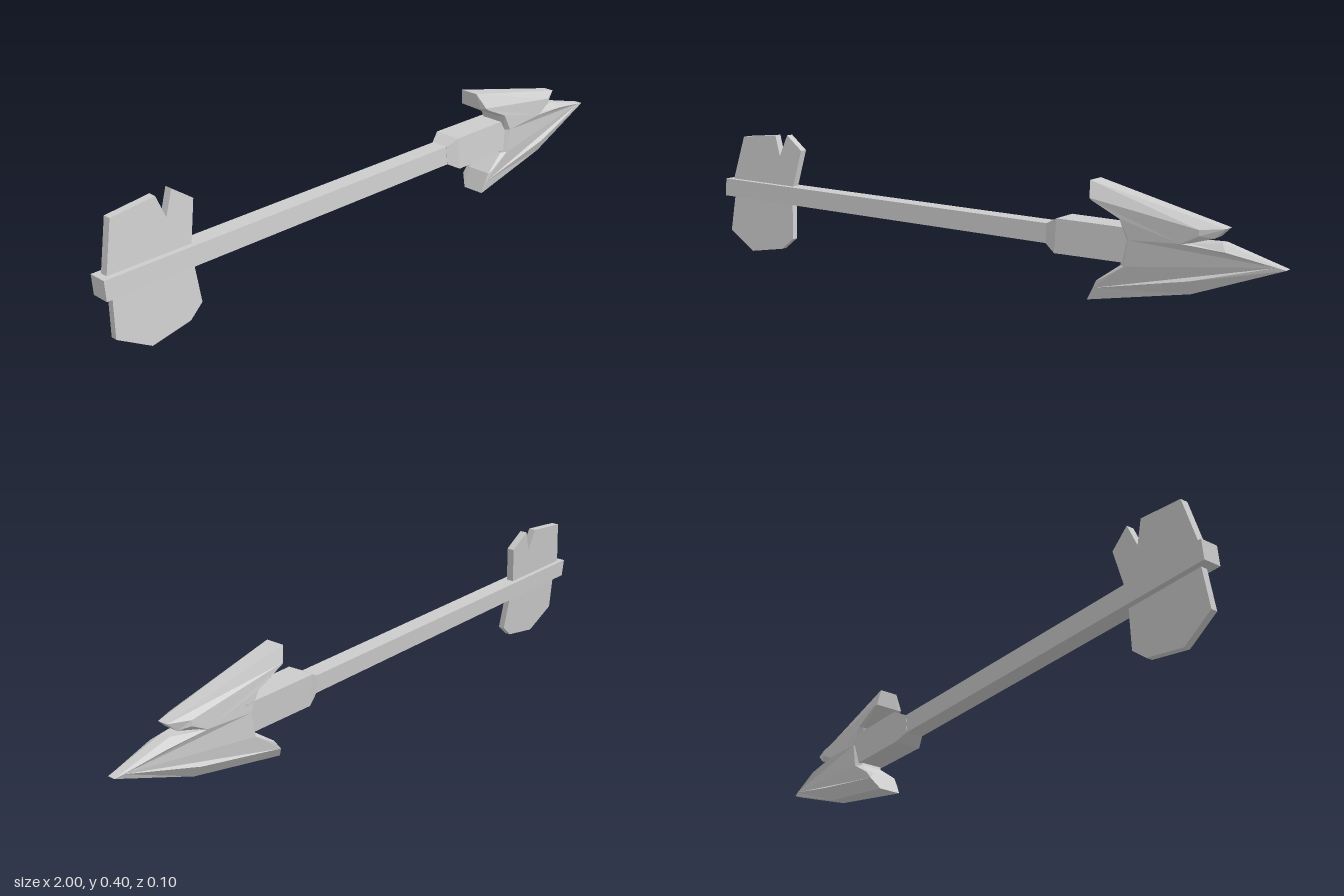
import * as THREE from 'three';

const material = new THREE.MeshStandardMaterial({ color: 0xcccccc, flatShading: true });

// The whole arrow is slightly twisted out of true: higher points lean to -z.
const lean = (y, k) => -k * (y - 0.2);

function meshFrom(name, positions, indices) {
  const indexed = new THREE.BufferGeometry();
  indexed.setAttribute('position', new THREE.Float32BufferAttribute(positions, 3));
  indexed.setIndex(indices);
  const geometry = indexed.toNonIndexed();
  geometry.computeVertexNormals();
  const mesh = new THREE.Mesh(geometry, material);
  mesh.name = name;
  return mesh;
}

// Lofts four-cornered sections [x, bottom, top, halfDepth] along x.
function squareLoft(name, sections) {
  const positions = [], indices = [];
  for (const [x, bottom, top, depth] of sections) {
    for (const [y, z] of [[bottom, depth], [bottom, -depth], [top, -depth], [top, depth]]) {
      positions.push(x, y, z - 0.004 + lean(y, 0.1));
    }
  }
  for (let s = 0; s < sections.length - 1; s++) {
    for (let i = 0; i < 4; i++) {
      const a = s * 4 + i, b = s * 4 + (i + 1) % 4;
      indices.push(a, b, b + 4, a, b + 4, a + 4);
    }
  }
  const e = (sections.length - 1) * 4;
  indices.push(0, 2, 1, 0, 3, 2, e, e + 1, e + 2, e, e + 2, e + 3);
  return meshFrom(name, positions, indices);
}

// Thin feather plate cut from an outline and leaned like the shaft.
function feather(name, outline, thickness) {
  const shape = new THREE.Shape(outline.map(([x, y]) => new THREE.Vector2(x, y)));
  const geometry = new THREE.ExtrudeGeometry(shape, { depth: thickness, bevelEnabled: false });
  const p = geometry.attributes.position;
  for (let i = 0; i < p.count; i++) {
    p.setZ(i, p.getZ(i) - thickness / 2 - 0.004 + lean(p.getY(i), 0.12));
  }
  geometry.computeVertexNormals();
  const mesh = new THREE.Mesh(geometry, material);
  mesh.name = name;
  return mesh;
}

// Barbed head: a broad face on each side, bevelled out to a narrower rim.
function arrowHead() {
  // rim x, rim y, face x, face y, rim half depth
  const ring = [
    [0.43, 0.025, 0.45, 0.062, 0.036],
    [0.74, 0.08, 0.74, 0.118, 0.022],
    [1.0, 0.175, 0.975, 0.18, 0.012],
    [0.82, 0.226, 0.84, 0.207, 0.016],
    [0.73, 0.217, 0.715, 0.217, 0.026],
    [0.8, 0.237, 0.765, 0.243, 0.022],
    [0.83, 0.265, 0.765, 0.26, 0.016],
    [0.42, 0.36, 0.435, 0.315, 0.03],
    [0.43, 0.31, 0.445, 0.307, 0.04],
    [0.52, 0.262, 0.53, 0.266, 0.035],
    [0.545, 0.21, 0.56, 0.21, 0.035],
    [0.53, 0.135, 0.547, 0.135, 0.035],
    [0.46, 0.085, 0.475, 0.09, 0.04],
  ];
  const n = ring.length;
  const faceDepth = (x) => x < 0.65 ? 0.05
    : x < 0.86 ? THREE.MathUtils.mapLinear(x, 0.65, 0.86, 0.05, 0.036)
      : THREE.MathUtils.mapLinear(x, 0.86, 1, 0.036, 0.012);
  const positions = [], indices = [];
  // Four loops from the front face, over the rim, to the back face
  for (const r of ring) positions.push(r[2], r[3], faceDepth(r[2]));
  for (const s of [1, -1]) {
    for (const r of ring) positions.push(r[0], r[1], s * r[4] + lean(r[1], 0.06));
  }
  for (const r of ring) positions.push(r[2], r[3], -faceDepth(r[2]));
  for (let loop = 0; loop < 3; loop++) {
    for (let i = 0; i < n; i++) {
      const a = loop * n + i, b = loop * n + (i + 1) % n;
      indices.push(a, a + n, b + n, a, b + n, b);
    }
  }
  const face = ring.map((r) => new THREE.Vector2(r[2], r[3]));
  for (const [a, b, c] of THREE.ShapeUtils.triangulateShape(face, [])) {
    indices.push(a, b, c, a + 3 * n, c + 3 * n, b + 3 * n);
  }
  return meshFrom('arrowHead', positions, indices);
}

export function createModel() {
  const group = new THREE.Group();
  group.name = 'arrow';

  group.add(squareLoft('shaft', [
    [-1, 0.18, 0.237, 0.028],
    [0.32, 0.165, 0.222, 0.028],
  ]));

  // Thicker socket between shaft and head
  group.add(squareLoft('collar', [
    [0.28, 0.166, 0.222, 0.029],
    [0.32, 0.144, 0.243, 0.044],
    [0.575, 0.144, 0.24, 0.042],
  ]));

  group.add(arrowHead());

  group.add(feather('upperFeather', [
    [-0.98, 0.21], [-0.71, 0.21], [-0.71, 0.235], [-0.685, 0.352], [-0.75, 0.398],
    [-0.777, 0.328], [-0.802, 0.394], [-0.945, 0.38], [-0.98, 0.235],
  ], 0.024));
  group.add(feather('lowerFeather', [
    [-0.97, 0.2], [-0.98, 0.062], [-0.875, 0.003], [-0.745, 0.025],
    [-0.7, 0.062], [-0.712, 0.2],
  ], 0.02));

  return group;
}
